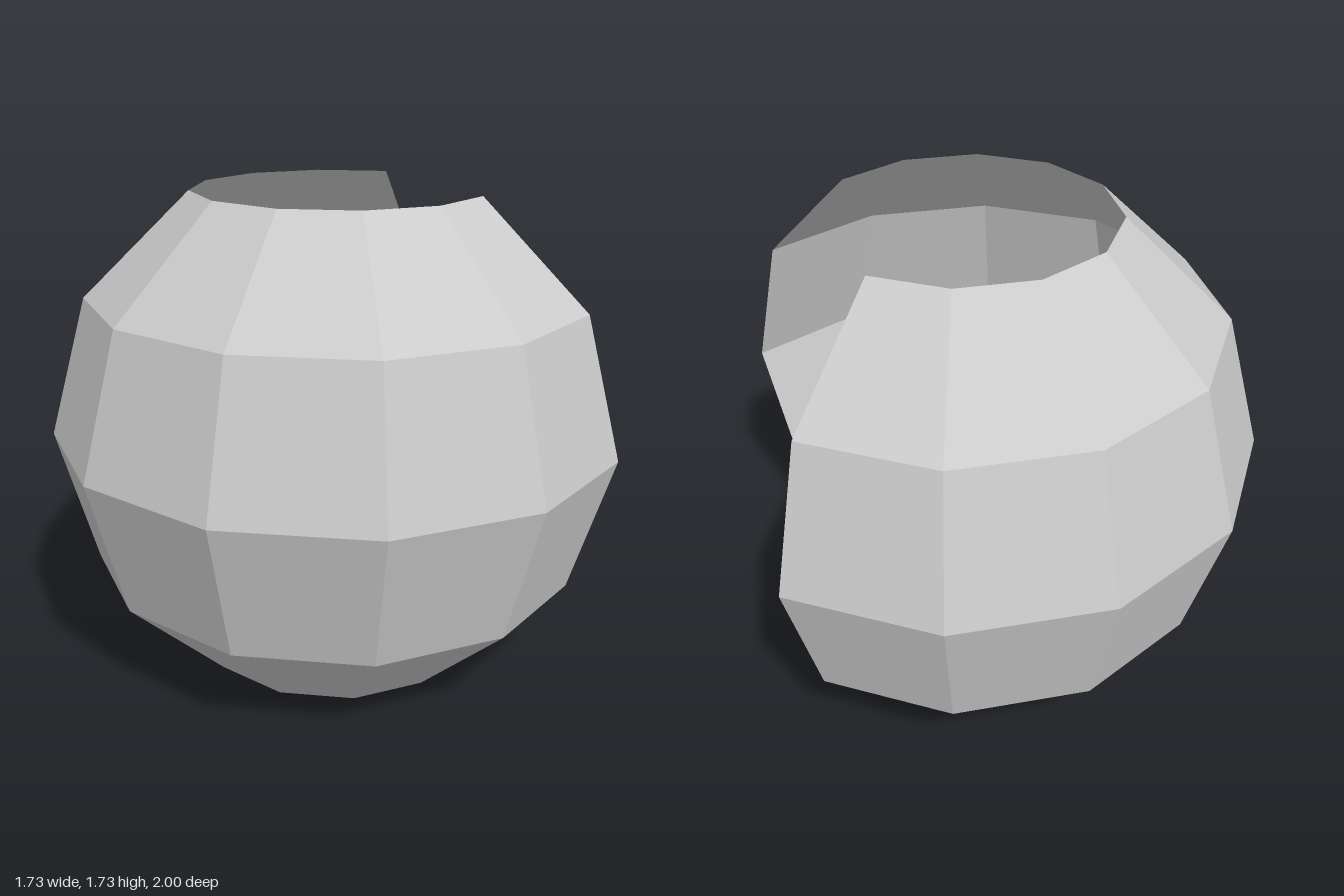
import * as THREE from 'three';

const SEGMENTS = 12;
const STEP = (Math.PI * 2) / SEGMENTS;

// Twelve-sided faceted sphere, with flat sides touching the given radius.
// Rings lie every 30 degrees of latitude, up to the given number from the equator.
function facetedSphere(radius, rings, phiStart, segments) {
  const corner = radius / Math.cos(STEP / 2);
  const profile = [];
  for (let i = -rings; i <= rings; i++) {
    const lat = (i * Math.PI) / 6;
    const r = Math.abs(i) === 3 ? 0 : corner * Math.cos(lat);
    profile.push(new THREE.Vector2(r, radius * Math.sin(lat)));
  }
  return new THREE.LatheGeometry(profile, segments, phiStart, segments * STEP);
}

export function createModel() {
  const model = new THREE.Group();
  model.name = 'nestedSpheres';

  const add = (name, geometry, side) => {
    const material = new THREE.MeshStandardMaterial({ color: 0xcccccc, flatShading: true, side });
    const mesh = new THREE.Mesh(geometry, material);
    mesh.name = name;
    mesh.position.set(0.134, Math.cos(Math.PI / 6), 0);
    model.add(mesh);
  };

  // Thin outer shell: open at top and bottom, with a quarter missing on +x
  add('outerShell', facetedSphere(1, 2, Math.PI * 0.75, 9), THREE.DoubleSide);

  // Closed ball at the centre of the shell
  add('innerBall', facetedSphere(0.5, 3, STEP / 2, SEGMENTS), THREE.FrontSide);

  return model;
}
